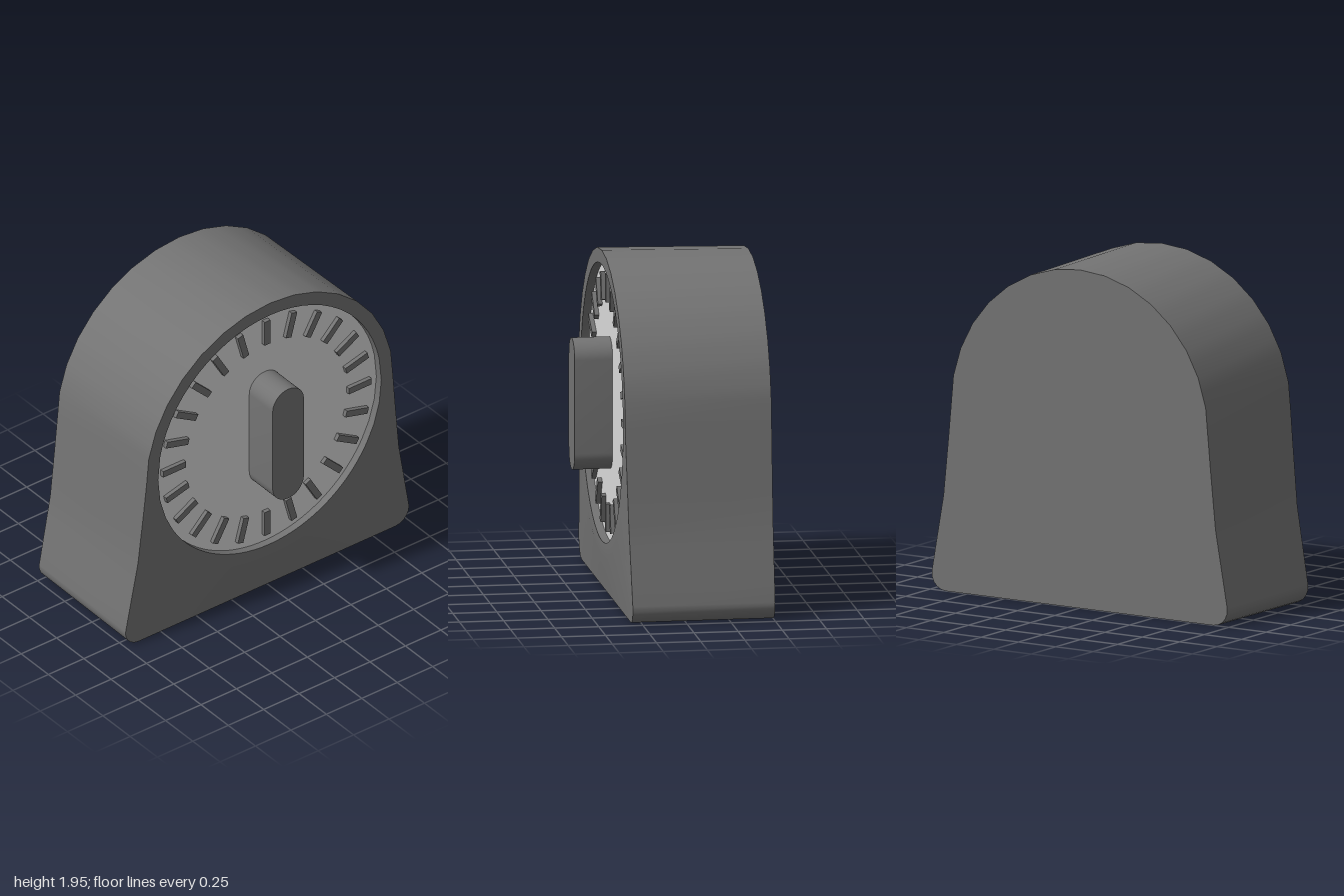
import * as THREE from 'three';
import { toCreasedNormals } from 'three/addons/utils/BufferGeometryUtils.js';

const CY = 1.075;        // dial centre height
const DIAL_R = 0.787, RIM_R = 0.87;
const FRONT = 0.33, BACK = -0.5, DIAL_Z = 0.285;

// Closed housing outline, counter-clockwise from the front
function outline() {
  const half = [];
  for (let i = 0; i <= 5; i++) { // rounded bottom corner
    const a = -Math.PI / 2 + (i / 5) * (Math.PI / 2 + 0.12);
    half.push([0.905 + 0.095 * Math.cos(a), 0.095 + 0.095 * Math.sin(a)]);
  }
  half.push([0.963, 0.31], [0.92, 0.55], [0.885, 0.9]);
  for (let i = 1; i < 8; i++) { // rounded top
    const a = (i * Math.PI) / 16;
    half.push([RIM_R * Math.cos(a), CY + RIM_R * Math.sin(a)]);
  }
  const mirrored = half.map(([x, y]) => [-x, y]).reverse();
  const corners = [...half, [0, CY + RIM_R], ...mirrored];
  for (let i = 1; i < 12; i++) corners.push([-0.905 + (1.81 * i) / 12, 0]); // base
  // split every edge once so the dial opening is rounder
  return corners.flatMap((p, i) => {
    const q = corners[(i + 1) % corners.length];
    return [p, [(p[0] + q[0]) / 2, (p[1] + q[1]) / 2]];
  });
}

// Smooth surface joining successive closed loops of [x, y, z] points
function loft(loops) {
  const n = loops[0].length, index = [];
  for (let l = 0; l < loops.length - 1; l++) {
    for (let i = 0; i < n; i++) {
      const j = (i + 1) % n, a = l * n, b = a + n;
      index.push(a + i, b + i, b + j, a + i, b + j, a + j);
    }
  }
  const g = new THREE.BufferGeometry();
  g.setAttribute('position', new THREE.Float32BufferAttribute(loops.flat(2), 3));
  g.setIndex(index);
  g.computeVertexNormals();
  return g;
}

export function createModel() {
  const group = new THREE.Group();
  const grey = new THREE.MeshStandardMaterial({ color: 0x737373 });
  grey.name = 'dark grey';
  const pale = new THREE.MeshStandardMaterial({ color: 0xdcdcdc });
  pale.name = 'pale grey';
  const add = (name, geometry, material, parent = group) => {
    const mesh = new THREE.Mesh(geometry, material);
    mesh.name = name;
    parent.add(mesh);
    return mesh;
  };

  // Housing: recess wall, flat rim blending into the sloped face, sides, back
  const pts = outline();
  const circle = (r, z) => pts.map(([x, y]) => {
    const d = Math.hypot(x, y - CY), k = Math.min(r, d) / d;
    return [x * k, CY + (y - CY) * k, z];
  });
  const outerFront = pts.map(([x, y]) => [x, y, FRONT - 0.025 * Math.max(0, 1 - y / CY)]);
  const outerBack = pts.map(([x, y]) => [x * 0.99, y * 0.992, BACK]);
  const backCentre = pts.map(() => [0, CY, BACK]);
  const housing = new THREE.Group();
  housing.name = 'housing';
  group.add(housing);
  add('dialRecess', loft([circle(DIAL_R, DIAL_Z - 0.01), circle(DIAL_R, FRONT)]), grey, housing);
  add('frontFace', loft([circle(DIAL_R, FRONT), circle(RIM_R, FRONT), outerFront]), grey, housing);
  add('sides', loft([outerFront, outerBack]), grey, housing);
  add('back', loft([outerBack, backCentre]), grey, housing);

  // Dial plate
  add('dial', new THREE.CircleGeometry(DIAL_R + 0.01, 64), pale).position.set(0, CY, DIAL_Z);

  // Raised minute marks
  const marks = new THREE.Group();
  marks.name = 'minuteMarks';
  marks.position.set(0, CY, DIAL_Z + 0.01);
  group.add(marks);
  const markGeometry = new THREE.BoxGeometry(0.16, 0.04, 0.03);
  for (let i = 0; i < 24; i++) {
    const a = (i * Math.PI) / 12;
    const mark = add('minuteMark', markGeometry, grey, marks);
    mark.position.set(0.655 * Math.cos(a), 0.655 * Math.sin(a), 0);
    mark.rotation.z = a;
  }

  // Grip with rounded ends
  const r = 0.11;
  const grip = new THREE.Shape();
  grip.absarc(0, 1.34, r, 0, Math.PI);
  grip.absarc(0, 0.81, r, Math.PI, 2 * Math.PI);
  grip.closePath();
  const gripGeometry = new THREE.ExtrudeGeometry(grip, {
    depth: 0.5 - DIAL_Z + 0.005, bevelEnabled: false, curveSegments: 12,
  });
  add('grip', toCreasedNormals(gripGeometry, 0.6), grey).position.z = DIAL_Z - 0.005;

  return group;
}
